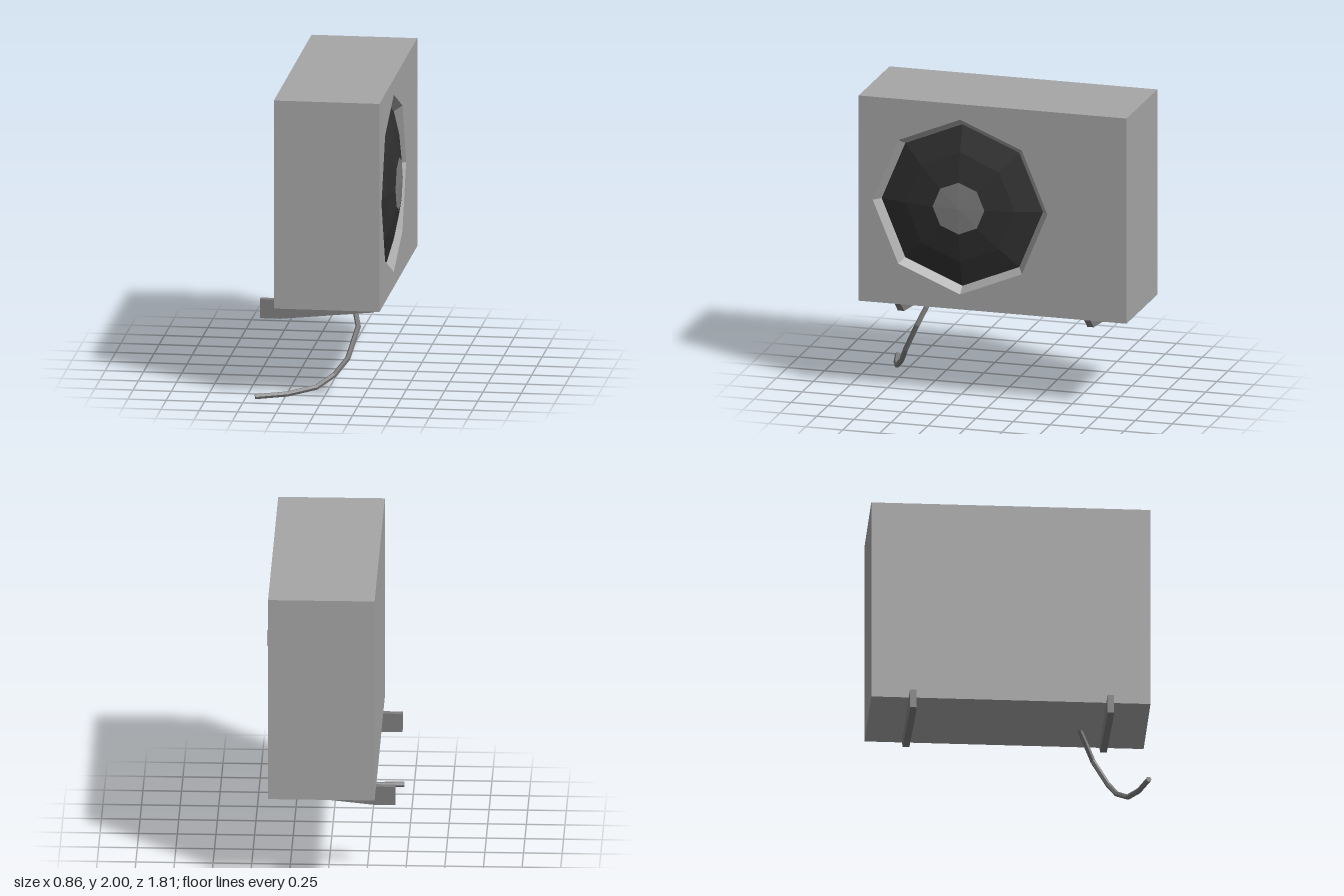
import * as THREE from 'three';

const bodyMat = new THREE.MeshStandardMaterial({ color: 0xa6a6a6 });
const metalMat = new THREE.MeshStandardMaterial({ color: 0x7e7e7e });
const darkMat = new THREE.MeshStandardMaterial({ color: 0x303030 });
bodyMat.name = 'casing grey';
metalMat.name = 'bracket grey';
darkMat.name = 'grille black';

const FAN_Y = 1.305, FAN_Z = 0.22;

function addMesh(parent, name, geometry, material) {
  const flat = geometry.index ? geometry.toNonIndexed() : geometry;
  flat.computeVertexNormals(); // faceted shading
  const mesh = new THREE.Mesh(flat, material);
  mesh.name = name;
  parent.add(mesh);
  return mesh;
}

const toShape = (pts) => new THREE.Shape(pts.map(([x, y]) => new THREE.Vector2(x, y)));

// Eight-sided surface of revolution facing +x; points are [radius, x]
function fanRing(points) {
  const g = new THREE.LatheGeometry(points.map(([r, x]) => new THREE.Vector2(r, x)), 8);
  return g.rotateZ(-Math.PI / 2).translate(0, FAN_Y, FAN_Z);
}

// Straight-segment path with one ring of the tube at each point
class Polyline extends THREE.Curve {
  constructor(points) {
    super();
    this.points = points;
  }
  getPoint(t, target = new THREE.Vector3()) {
    const n = this.points.length - 1;
    const i = Math.min(Math.floor(t * n + 1e-9), n - 1);
    return target.lerpVectors(this.points[i], this.points[i + 1], t * n - i);
  }
  getUtoTmapping(u) {
    return u;
  }
}

export function createModel() {
  const model = new THREE.Group();
  model.name = 'outdoorUnit';

  // Casing: box without its +x side, closed by a panel with an octagonal opening
  const box = new THREE.BoxGeometry(0.69, 1.385, 1.81);
  box.setIndex(Array.from(box.index.array).slice(6));
  box.clearGroups();
  addMesh(model, 'casing', box.translate(0.035, 1.3075, 0), bodyMat);

  const panel = toShape([[-0.905, 0.615], [0.905, 0.615], [0.905, 2], [-0.905, 2]]);
  const opening = new THREE.Path();
  opening.setFromPoints(Array.from({ length: 8 }, (_, i) => {
    const a = -i * Math.PI / 4;
    return new THREE.Vector2(-FAN_Z + 0.59 * Math.cos(a), FAN_Y + 0.59 * Math.sin(a));
  }));
  panel.holes.push(opening);
  const panelGeo = new THREE.ShapeGeometry(panel).rotateY(Math.PI / 2).translate(0.38, 0, 0);
  addMesh(model, 'fanPanel', panelGeo, bodyMat);

  // Fan: recessed rim, bulging dark grille, grey hub
  const fan = new THREE.Group();
  fan.name = 'fan';
  addMesh(fan, 'fanRim', fanRing([[0.59, 0.38], [0.545, 0.328]]), bodyMat);
  addMesh(fan, 'fanGrille', fanRing([[0.545, 0.328], [0.37, 0.38], [0.175, 0.415]]), darkMat);
  addMesh(fan, 'fanHub', fanRing([[0.175, 0.415], [0, 0.425]]), metalMat);
  model.add(fan);

  // Two tapered support brackets
  const bracketShape = toShape([
    [-0.435, 0.488], [-0.3, 0.488], [0.31, 0.55], [0.38, 0.615], [-0.435, 0.615],
  ]);
  for (const z of [0.64, -0.64]) {
    const g = new THREE.ExtrudeGeometry(bracketShape, { depth: 0.043, bevelEnabled: false });
    addMesh(model, z > 0 ? 'frontBracket' : 'rearBracket', g.translate(0, 0, z - 0.0215), metalMat);
  }

  // Drain hose drooping from the underside to the ground
  const path = new Polyline([
    [0.13, 0.63, 0.47], [0.165, 0.54, 0.515], [0.195, 0.43, 0.565], [0.14, 0.24, 0.66],
    [0.06, 0.14, 0.71], [-0.05, 0.068, 0.775], [-0.23, 0.032, 0.835], [-0.435, 0.02, 0.887],
  ].map((p) => new THREE.Vector3(...p)));
  const hose = new THREE.Group();
  hose.name = 'hose';
  addMesh(hose, 'hoseTube', new THREE.TubeGeometry(path, 7, 0.018, 6), metalMat);
  const cap = addMesh(hose, 'hoseEnd', new THREE.CircleGeometry(0.018, 6), metalMat);
  const end = path.getPoint(1);
  cap.position.copy(end);
  cap.lookAt(end.clone().add(path.getTangent(1)));
  model.add(hose);

  return model;
}
